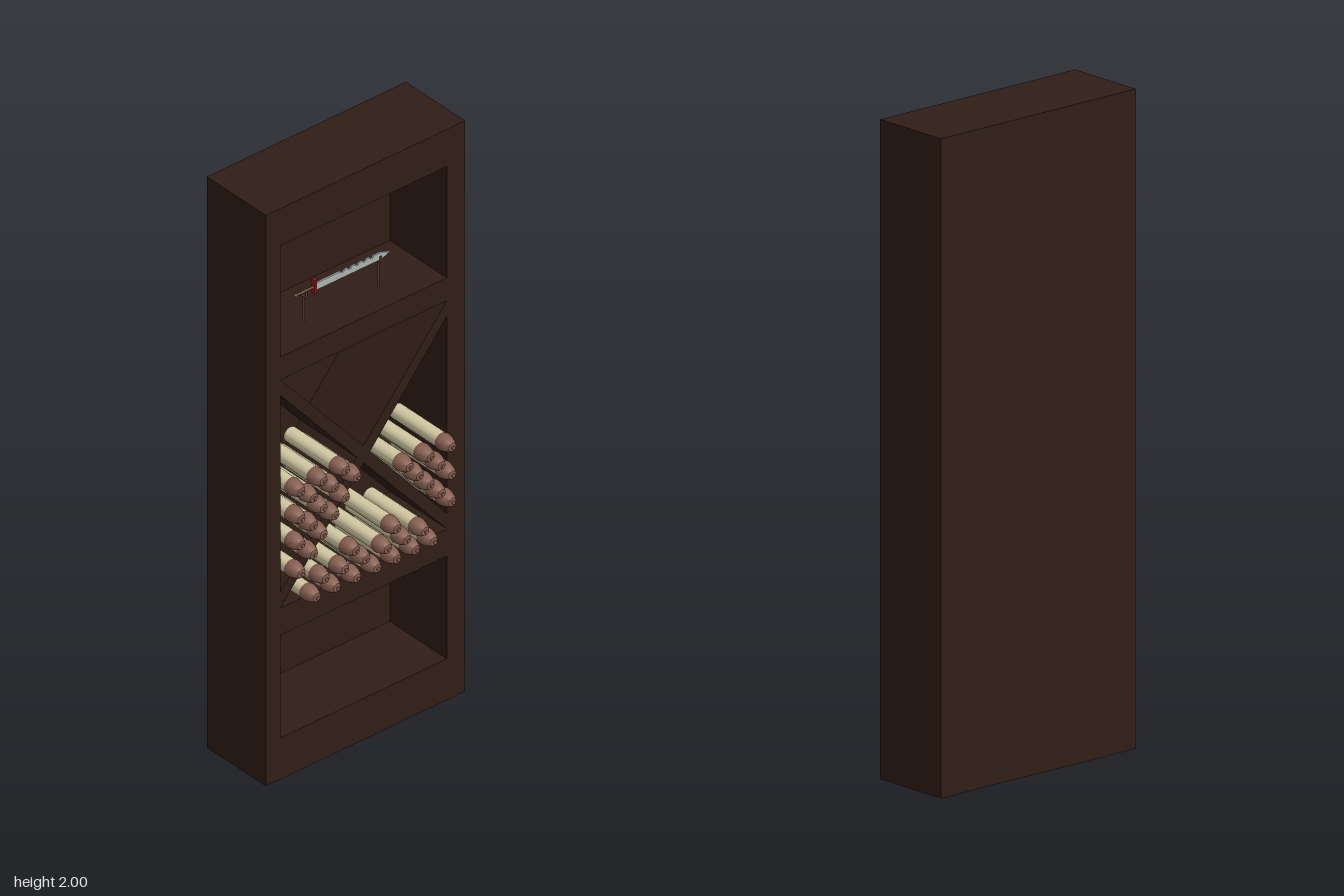
import * as THREE from 'three';
import { toCreasedNormals } from 'three/addons/utils/BufferGeometryUtils.js';

const mat = (color) => new THREE.MeshStandardMaterial({ color });
const wood = mat(0x301d16);
const cream = mat(0xd2c9a2);
const copper = mat(0x855e50);
const steel = mat(0xa9b5ae);
const red = mat(0xa01818);
const brass = mat(0x6b4c38);

function add(parent, name, geometry, material, x = 0, y = 0, z = 0) {
  const mesh = new THREE.Mesh(geometry, material);
  mesh.name = name;
  mesh.position.set(x, y, z);
  parent.add(mesh);
  return mesh;
}

const points = (list) => list.map(([x, y]) => new THREE.Vector2(x, y));

// Solid of revolution lying along z
function turned(profile) {
  const g = new THREE.LatheGeometry(points(profile), 16);
  g.rotateX(Math.PI / 2);
  return toCreasedNormals(g, 0.6);
}

// Cabinet: front outline with shelf openings and the four bays of the X divider
function cabinet() {
  const group = new THREE.Group();
  group.name = 'cabinet';
  const L = -0.325, R = 0.31, C = (L + R) / 2;
  const front = new THREE.Shape(points([[-0.38, 0], [0.38, 0], [0.38, 2], [-0.38, 2]]));
  const openings = [
    [[L, 1.48], [R, 1.48], [R, 1.87], [L, 1.87]],
    [[L, 0.145], [R, 0.145], [R, 0.505], [L, 0.505]],
    [[L, 1.4], [R, 1.4], [C, 1.03]],
    [[L, 0.6], [R, 0.6], [C, 0.97]],
    [[L, 1.345], [L, 0.655], [C - 0.025, 1]],
    [[R, 1.345], [R, 0.655], [C + 0.025, 1]],
  ];
  openings.forEach((o) => front.holes.push(new THREE.Path(points(o))));
  const frame = new THREE.ExtrudeGeometry(front, { depth: 0.255, bevelEnabled: false });
  add(group, 'frame', frame, wood, 0, 0, -0.16);
  add(group, 'backPanel', new THREE.BoxGeometry(0.76, 2, 0.01), wood, 0, 1, -0.165);
  return group;
}

// Stacked shells, listed as rows: height followed by x positions
function shells() {
  const group = new THREE.Group();
  group.name = 'shells';
  const caseGeo = turned([[0, -0.09], [0.025, -0.09], [0.025, 0.113], [0, 0.113]]);
  const tipGeo = turned([[0, 0.112], [0.026, 0.112], [0.0275, 0.118], [0.027, 0.128],
    [0.0245, 0.14], [0.02, 0.152], [0.014, 0.161], [0.006, 0.163], [0.006, 0.168], [0, 0.168]]);
  const rows = [
    // left bay
    [1.03, -0.3, -0.215, -0.13], [0.988, -0.252, -0.17, -0.087],
    [0.935, -0.3, -0.215, -0.13], [0.89, -0.252, -0.17],
    [0.843, -0.3, -0.215], [0.79, -0.252], [0.743, -0.3],
    // right bay
    [0.935, 0.113, 0.193, 0.275], [0.888, 0.152, 0.235],
    [0.838, 0.193, 0.275], [0.79, 0.235], [0.743, 0.275],
    // bottom bay
    [0.635, -0.242, -0.165, -0.087, -0.01, 0.065, 0.137, 0.205],
    [0.685, -0.207, -0.133, -0.052, 0.03, 0.103, 0.172],
    [0.732, -0.092], [0.74, 0.066],
  ];
  for (const [y, ...xs] of rows) {
    for (const x of xs) {
      const shell = new THREE.Group();
      shell.name = 'shell';
      shell.position.set(x, y, 0);
      add(shell, 'casing', caseGeo, cream);
      add(shell, 'tip', tipGeo, copper);
      group.add(shell);
    }
  }
  return group;
}

// Knife lying along x, blade pointing to +x
function knife() {
  const group = new THREE.Group();
  group.name = 'knife';
  group.position.y = 1.585;
  const blade = new THREE.Shape();
  blade.moveTo(-0.115, -0.012);
  blade.lineTo(0.14, -0.012);
  blade.lineTo(0.172, 0);
  blade.lineTo(0.14, 0.011);
  // saw notches along the spine
  for (let i = 0; i < 5; i++) {
    const x = 0.11 - i * 0.028;
    blade.lineTo(x, 0.012);
    blade.lineTo(x - 0.004, 0.006);
    blade.lineTo(x - 0.012, 0.006);
    blade.lineTo(x - 0.014, 0.012);
  }
  blade.lineTo(-0.115, 0.012);
  const bladeGeo = new THREE.ExtrudeGeometry(blade, { depth: 0.006, bevelEnabled: false });
  add(group, 'blade', bladeGeo, steel, 0, 0, -0.003);
  add(group, 'guard', new THREE.BoxGeometry(0.008, 0.05, 0.016), red, -0.115, 0.003);
  const grip = new THREE.CylinderGeometry(0.004, 0.004, 0.07, 10).rotateZ(Math.PI / 2);
  add(group, 'grip', grip, brass, -0.15, 0.001);
  add(group, 'pommel', new THREE.SphereGeometry(0.006, 10, 8), brass, -0.186, 0.001);
  return group;
}

// Forked rest that carries the knife
function rest(x) {
  const group = new THREE.Group();
  group.name = 'knifeRest';
  group.position.set(x, 1.48, 0);
  add(group, 'post', new THREE.CylinderGeometry(0.003, 0.003, 0.09, 8), brass, 0, 0.045);
  add(group, 'cradle', new THREE.BoxGeometry(0.006, 0.004, 0.026), brass, 0, 0.09);
  for (const s of [-1, 1]) {
    add(group, 'prong', new THREE.BoxGeometry(0.006, 0.022, 0.004), brass, 0, 0.1, s * 0.011);
  }
  return group;
}

export function createModel() {
  const model = new THREE.Group();
  model.name = 'displayCabinet';
  model.add(cabinet(), shells(), knife(), rest(-0.155), rest(0.13));
  // centre front to back
  model.children.forEach((part) => { part.position.z += 0.001; });
  return model;
}
